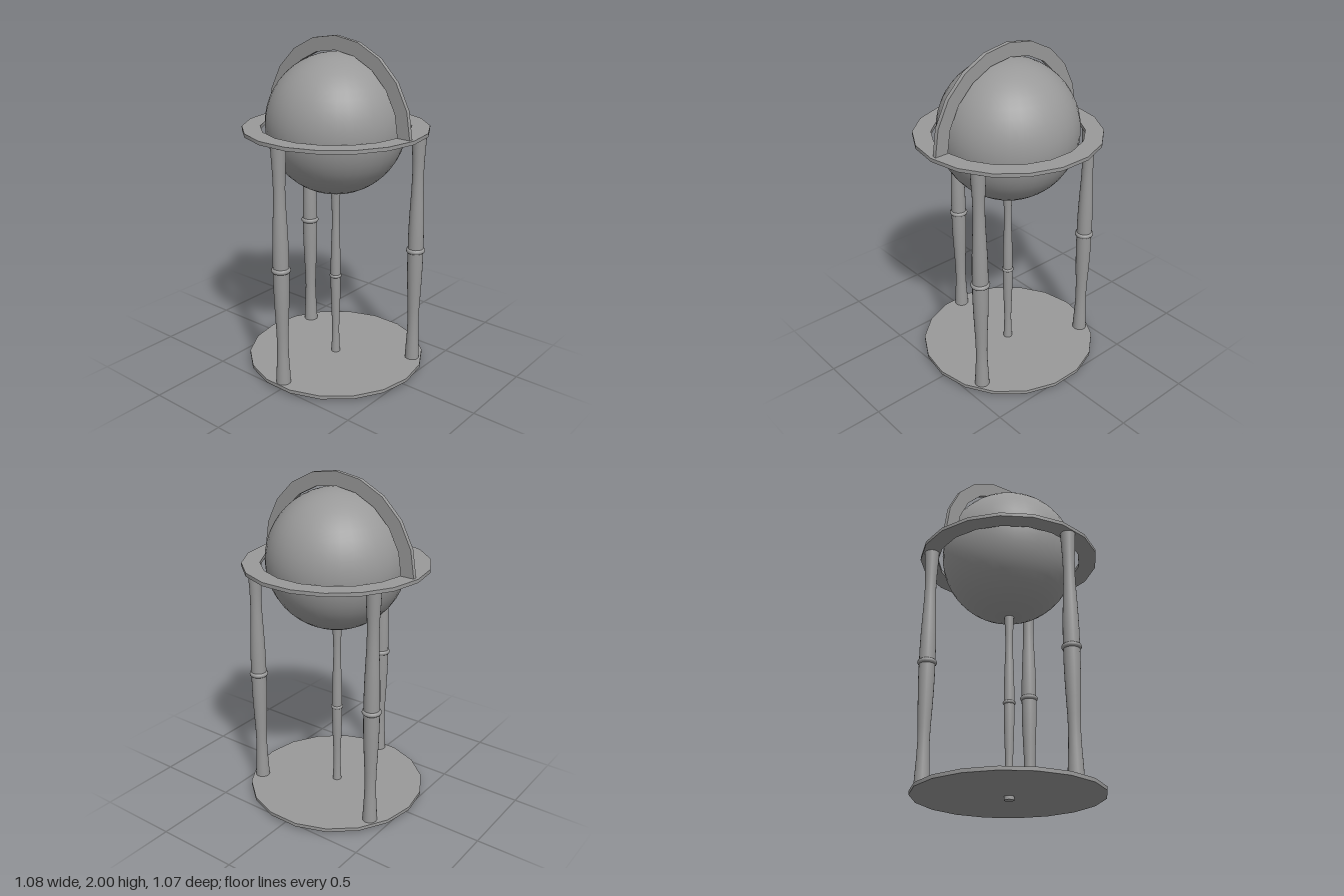
import * as THREE from 'three';
import { toCreasedNormals } from 'three/addons/utils/BufferGeometryUtils.js';

const material = new THREE.MeshStandardMaterial({ color: 0x999999, side: THREE.DoubleSide });
const AXIS_Z = -0.004; // the globe sits slightly behind the leg centre

// points on a faceted arc of n segments
function arcPoints(r, n, sweep) {
  return Array.from({ length: n + 1 }, (_, i) =>
    new THREE.Vector2(r * Math.cos(i / n * sweep), r * Math.sin(i / n * sweep)));
}

// flat plate with sharp rims and softly shaded edges
function plate(shape, thickness) {
  const geo = new THREE.ExtrudeGeometry(shape, { depth: thickness, bevelEnabled: false });
  return toCreasedNormals(geo, Math.PI / 6);
}

// 18-sided disc lying flat, optionally with a matching hole
function flatDisc(outer, inner, thickness) {
  const shape = new THREE.Shape(arcPoints(outer, 18, Math.PI * 2).slice(0, -1));
  if (inner) shape.holes.push(new THREE.Path(arcPoints(inner, 18, Math.PI * 2).slice(0, -1)));
  return plate(shape, thickness).rotateX(-Math.PI / 2);
}

// turned spindle, mirrored about its middle, with a bead there
function spindle(height, radius) {
  // [height from the end as a share of half the height, radius share]
  const half = [[0, 0.82], [0.1, 0.76], [0.22, 0.67], [0.34, 0.63], [0.46, 0.66],
    [0.6, 0.75], [0.75, 0.83], [0.88, 0.87], [1, 0.87]];
  const lower = half.map(([h, r]) => new THREE.Vector2(r * radius, h * height / 2));
  const upper = lower.slice(0, -1).reverse().map(p => new THREE.Vector2(p.x, height - p.y));
  const group = new THREE.Group();
  const shaft = new THREE.Mesh(new THREE.LatheGeometry([...lower, ...upper], 20), material);
  shaft.name = 'shaft';
  group.add(shaft);
  // flat ends
  for (const y of [0, height]) {
    const cap = new THREE.Mesh(new THREE.CircleGeometry(0.82 * radius, 20), material);
    cap.name = 'endCap';
    cap.rotation.x = y ? -Math.PI / 2 : Math.PI / 2;
    cap.position.y = y;
    group.add(cap);
  }
  const bead = new THREE.Mesh(
    new THREE.TorusGeometry(0.77 * radius, 0.29 * radius, 10, 20).rotateX(Math.PI / 2), material);
  bead.name = 'bead';
  bead.position.y = height / 2;
  group.add(bead);
  return group;
}

export function createModel() {
  const model = new THREE.Group();
  model.name = 'floorGlobe';
  const add = (geo, name, y) => {
    const mesh = new THREE.Mesh(geo, material);
    mesh.name = name;
    mesh.position.set(0, y, AXIS_Z);
    model.add(mesh);
  };

  add(new THREE.SphereGeometry(0.406, 36, 24), 'globe', 1.502);
  add(flatDisc(0.539, 0.434, 0.021), 'horizonRing', 1.467);
  add(flatDisc(0.539, 0, 0.021), 'base', 0.021);

  // upright half ring over the globe
  const arch = new THREE.Shape([
    ...arcPoints(0.519, 10, Math.PI), ...arcPoints(0.438, 10, Math.PI).reverse()]);
  add(plate(arch, 0.025).translate(0, 0, -0.0125), 'meridianArch', 1.481);

  // three legs, one at the front
  for (let i = 0; i < 3; i++) {
    const a = i * Math.PI * 2 / 3;
    const leg = spindle(1.427, 0.053);
    leg.name = ['frontLeg', 'backLeftLeg', 'backRightLeg'][i];
    leg.position.set(0.479 * Math.sin(a), 0.041, 0.479 * Math.cos(a));
    model.add(leg);
  }

  // slimmer post under the globe
  const post = spindle(1.115, 0.035);
  post.name = 'centrePost';
  model.add(post);

  return model;
}
